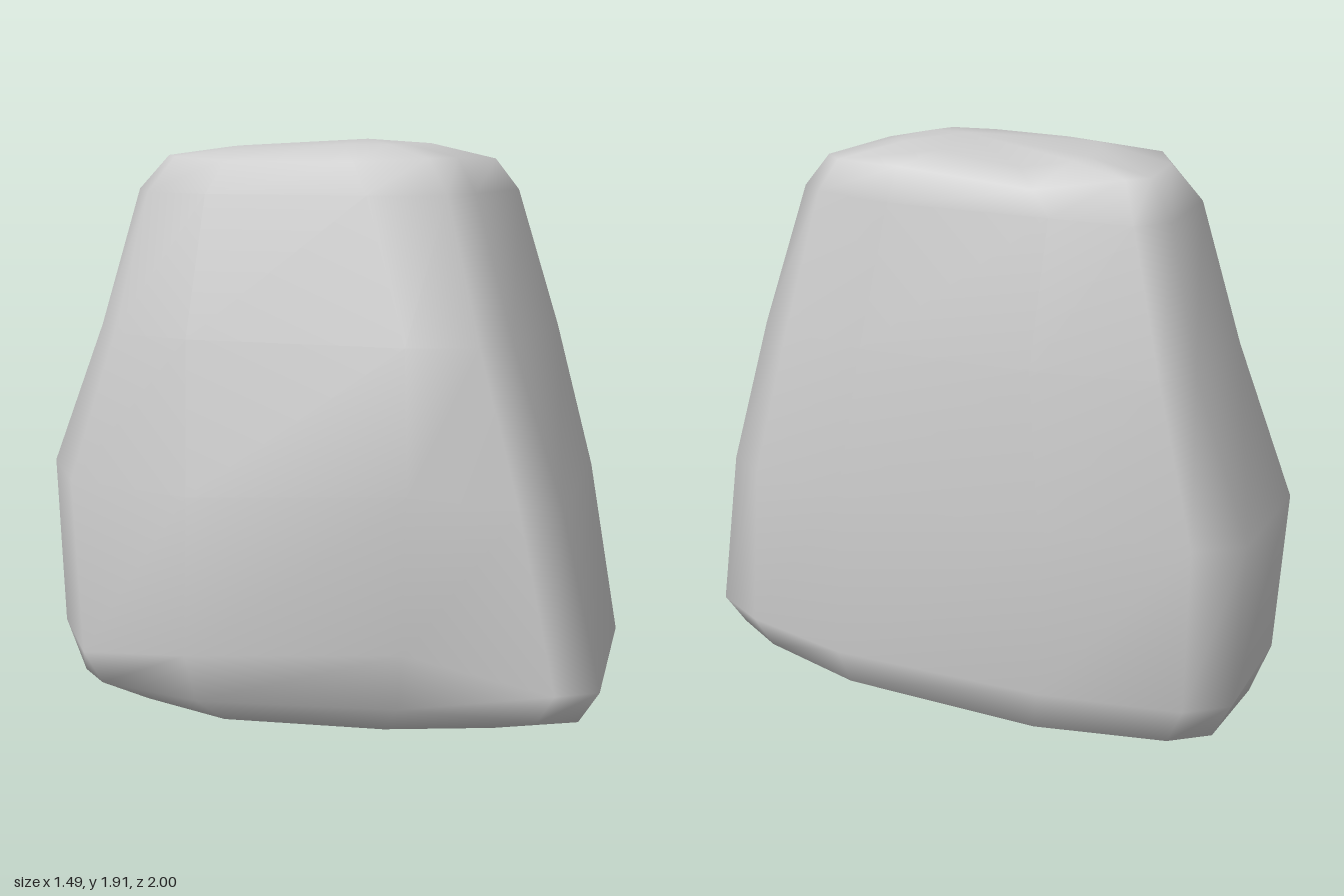
import * as THREE from 'three';

// Outline of the boulder at rising heights, as [x, z] corners (a third value
// replaces the height), from the front corner round by +x to the back and home by -x.
const rings = [
  { y: 0.26, p: [[0.18, 1], [0.74, 0.63], [0.735, 0.42], [0.62, 0.05], [0.25, -0.55], [-0.05, -0.9],
    [-0.2, -0.96], [-0.58, -0.74], [-0.745, -0.4], [-0.64, 0, 0.32], [-0.2, 0.53, 0.35], [0.05, 0.93]] },
  { y: 0.82, p: [[0.14, 0.87], [0.72, 0.52], [0.72, 0.37], [0.61, 0.03], [0.25, -0.55], [-0.03, -0.93],
    [-0.19, -1], [-0.57, -0.79], [-0.72, -0.48], [-0.6, -0.03], [-0.22, 0.56, 0.86], [0.02, 0.8]] },
  { y: 1.3, p: [[0.13, 0.67], [0.62, 0.44], [0.62, 0.31], [0.52, 0.02], [0.22, -0.46], [-0.03, -0.76],
    [-0.15, -0.79], [-0.48, -0.62], [-0.59, -0.4], [-0.52, -0.12], [-0.16, 0.49], [0.01, 0.64]] },
  { y: 1.75, p: [[0.18, 0.46], [0.5, 0.36], [0.51, 0.26], [0.42, 0], [0.14, -0.44], [0, -0.66],
    [-0.12, -0.69], [-0.38, -0.53], [-0.49, -0.34], [-0.45, -0.1], [-0.15, 0.31], [0.03, 0.48]] },
  { y: 1.86, p: [[0.16, 0.4], [0.44, 0.31, 1.85], [0.46, 0.22, 1.85], [0.39, -0.01, 1.86], [0.14, -0.36, 1.82],
    [-0.05, -0.56], [-0.13, -0.58], [-0.31, -0.46], [-0.41, -0.3], [-0.37, -0.1, 1.85],
    [-0.12, 0.22, 1.85], [0.03, 0.4]] },
];
const N = 12;
// Corner heights of the underside, the worn edge around the base and the crown
const underY = [0.12, 0.12, 0.12, 0.1, 0.07, 0.07, 0.07, 0.06, 0.08, 0.07, 0.06, 0.1];
const edgeY = [0.15, 0.17, 0.16, 0.14, 0.12, 0.13, 0.13, 0.08, 0.15, 0.16, 0.16, 0.16];
const crownY = [1.9, 1.9, 1.9, 1.89, 1.855, 1.88, 1.89, 1.89, 1.89, 1.89, 1.9, 1.9];

// Ring shrunk towards the middle, with a height for each corner
const shrink = (ring, s, ys) => ({ p: ring.p.map(([x, z], i) => [x * s, z * s, ys[i]]) });

function boulderGeometry() {
  const all = [
    shrink(rings[0], 0.75, underY),
    shrink(rings[0], 0.93, edgeY),
    ...rings,
    shrink(rings[4], 0.6, crownY),
  ];
  const pos = [], index = [];
  for (const ring of all) for (const [x, z, y = ring.y] of ring.p) pos.push(x, y, z);
  const bottom = pos.length / 3, top = bottom + 1, last = (all.length - 1) * N;
  pos.push(0.13, 0, 0.36, 0.08, 1.915, 0.08);

  for (let i = 0; i < N; i++) {
    const j = (i + 1) % N;
    for (let r = 0; r < last; r += N) {
      index.push(r + i, r + j, r + N + j, r + i, r + N + j, r + N + i);
    }
    index.push(bottom, j, i, top, last + i, last + j);
  }
  const geo = new THREE.BufferGeometry();
  geo.setAttribute('position', new THREE.Float32BufferAttribute(pos, 3));
  geo.setIndex(index);
  geo.computeVertexNormals();
  return geo;
}

export function createModel() {
  const group = new THREE.Group();
  group.name = 'rock';
  const boulder = new THREE.Mesh(boulderGeometry(), new THREE.MeshStandardMaterial({ color: 0xcccccc }));
  boulder.name = 'boulder';
  group.add(boulder);
  return group;
}
